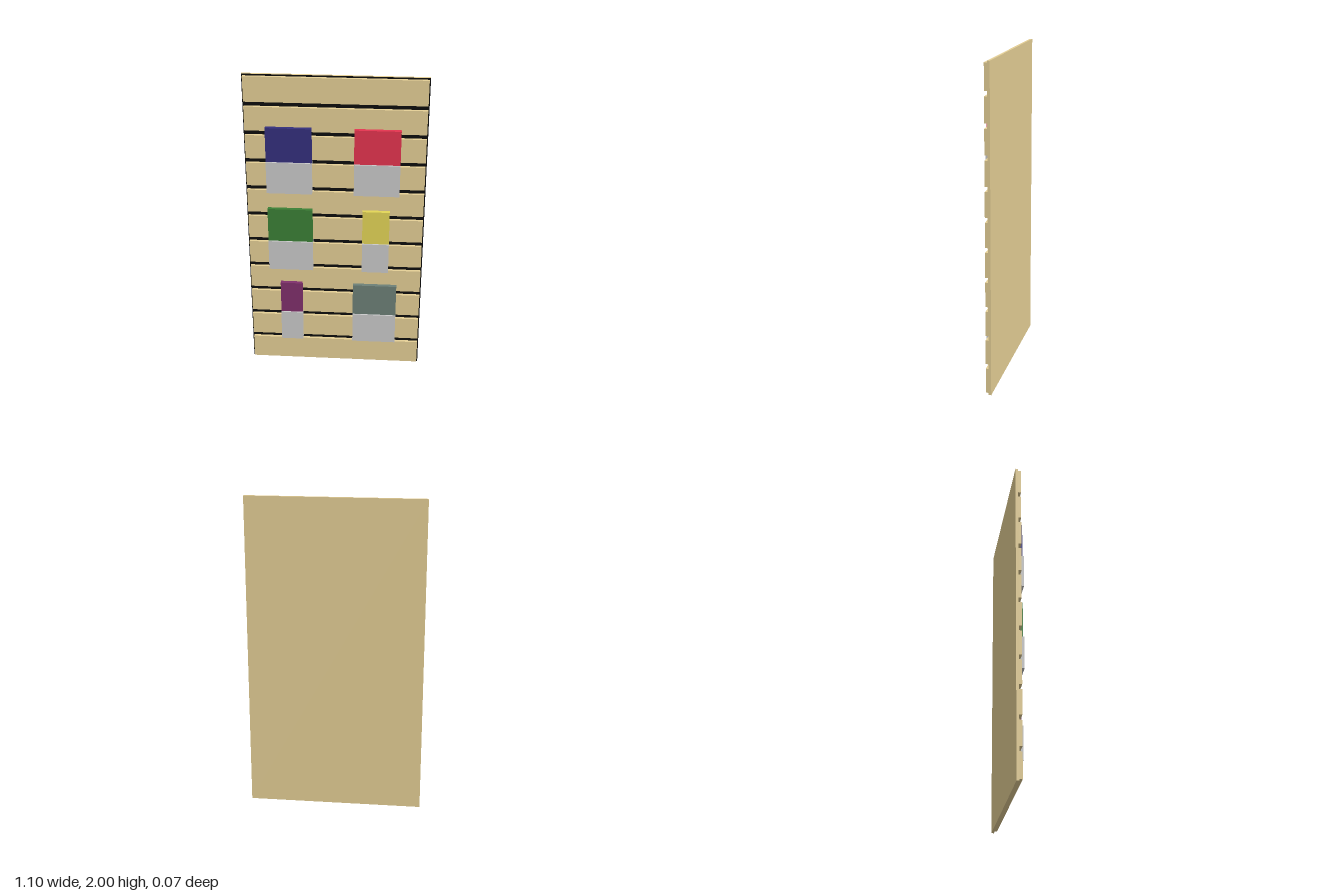
import * as THREE from 'three';

const material = (color) => new THREE.MeshStandardMaterial({ color });

// Box given by its limits on each axis
function box(name, [x0, x1], [y0, y1], [z0, z1], mat) {
  const mesh = new THREE.Mesh(new THREE.BoxGeometry(x1 - x0, y1 - y0, z1 - z0), mat);
  mesh.position.set((x0 + x1) / 2, (y0 + y1) / 2, (z0 + z1) / 2);
  mesh.name = name;
  return mesh;
}

export function createModel() {
  const model = new THREE.Group();
  model.name = 'slatwallDisplay';

  const wood = material(0xe6d096);
  const black = material(0x0c0c0c);
  const grey = material(0xcccccc);

  const slats = 11;
  const pitch = 2 / slats;
  const half = 0.015; // half the groove height
  const zBack = -0.035, zMid = -0.019;

  // Backing board with a dark front face that shows through the grooves
  model.add(box('backingBoard', [-0.55, 0.55], [0, 2], [zBack, zMid], wood));
  const face = new THREE.Mesh(new THREE.PlaneGeometry(1.1, 2), black);
  face.position.set(0, 1, zMid + 0.0005);
  face.name = 'grooveBacking';
  model.add(face);

  // Horizontal slats
  for (let i = 0; i < slats; i++) {
    const y0 = i === 0 ? 0.01 : i * pitch + half;
    const y1 = i === slats - 1 ? 1.99 : (i + 1) * pitch - half;
    model.add(box('slat', [-0.543, 0.543], [y0, y1], [zMid, 0], wood));
  }

  // Holders hooked into the grooves, each with a coloured panel above
  const rows = [[1.254, 1.46, 1.68], [0.715, 0.917, 1.14], [0.183, 0.39, 0.607]];
  const items = [
    [0, -0.418, -0.14, 0x34307e], [0, 0.115, 0.393, 0xe63450],
    [1, -0.418, -0.14, 0x3b8036], [1, 0.17, 0.337, 0xe4d757],
    [2, -0.35, -0.21, 0x80306c], [2, 0.115, 0.393, 0x6d8178],
  ];
  for (const [row, x0, x1, color] of items) {
    const [bottom, rim, top] = rows[row];
    const unit = new THREE.Group();
    unit.name = 'displayUnit';
    unit.add(box('holder', [x0, x1], [bottom, rim], [0, 0.034], grey));
    unit.add(box('panel', [x0, x1], [rim, top], [0, 0.025], material(color)));
    // Hooks fill the part of each groove that lies behind the holder
    for (let i = 1; i < slats; i++) {
      const y0 = Math.max(bottom, i * pitch - half);
      const y1 = Math.min(rim, i * pitch + half);
      if (y1 > y0) unit.add(box('hook', [x0, x1], [y0, y1], [zMid + 0.001, 0], grey));
    }
    model.add(unit);
  }
  return model;
}
